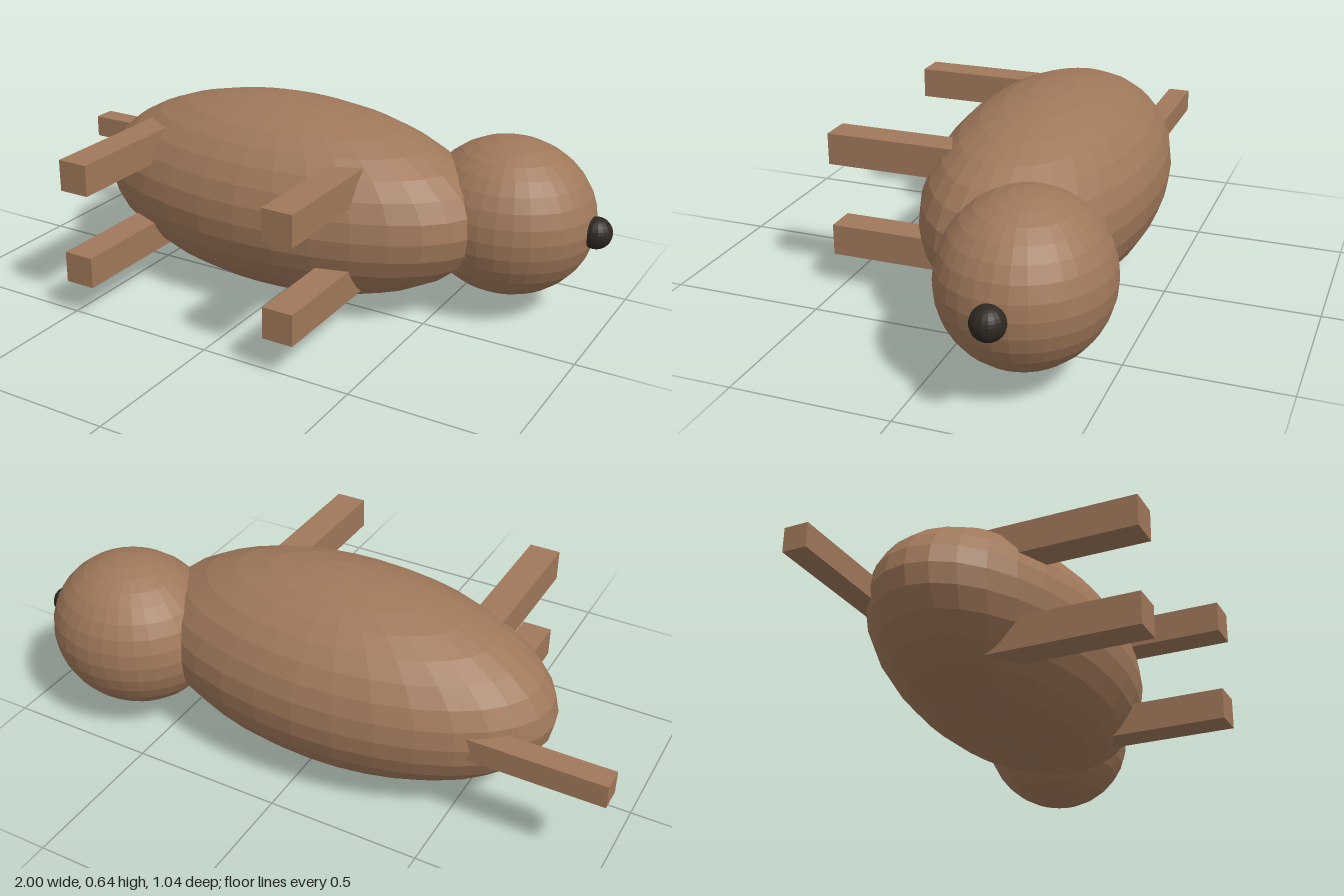
import * as THREE from 'three';

export function createModel() {
  const model = new THREE.Group();
  model.name = 'animal';
  const fur = new THREE.MeshStandardMaterial({ color: 0xa0785a, flatShading: true });
  const dark = new THREE.MeshStandardMaterial({ color: 0x2f2822, flatShading: true });

  const add = (name, geometry, material, x, y, z) => {
    const mesh = new THREE.Mesh(geometry, material);
    mesh.name = name;
    mesh.position.set(x, y, z);
    model.add(mesh);
  };
  const ellipsoid = (rx, ry, rz, w = 32, h = 16) =>
    new THREE.SphereGeometry(1, w, h).scale(rx, ry, rz);

  const midY = 0.324;

  // Body, head and nose
  add('body', ellipsoid(0.704, 0.32, 0.36), fur, -0.049, midY, -0.096);
  add('head', ellipsoid(0.281, 0.256, 0.256), fur, 0.661, midY, -0.262);
  add('nose', ellipsoid(0.051, 0.051, 0.051, 16, 16), dark, 0.949, midY, -0.262);

  // Four legs reaching out of the body toward the front
  for (const [end, x] of [['rear', -0.461], ['fore', 0.275]]) {
    for (const [side, s] of [['Upper', 1], ['Lower', -1]]) {
      add(`${end}Leg${side}`, new THREE.BoxGeometry(0.102, 0.102, 0.52), fur, x, midY + s * 0.156, 0.26);
    }
  }

  // Tail
  add('tail', new THREE.BoxGeometry(0.5, 0.076, 0.076), fur, -0.75, 0.327, -0.291);

  return model;
}
